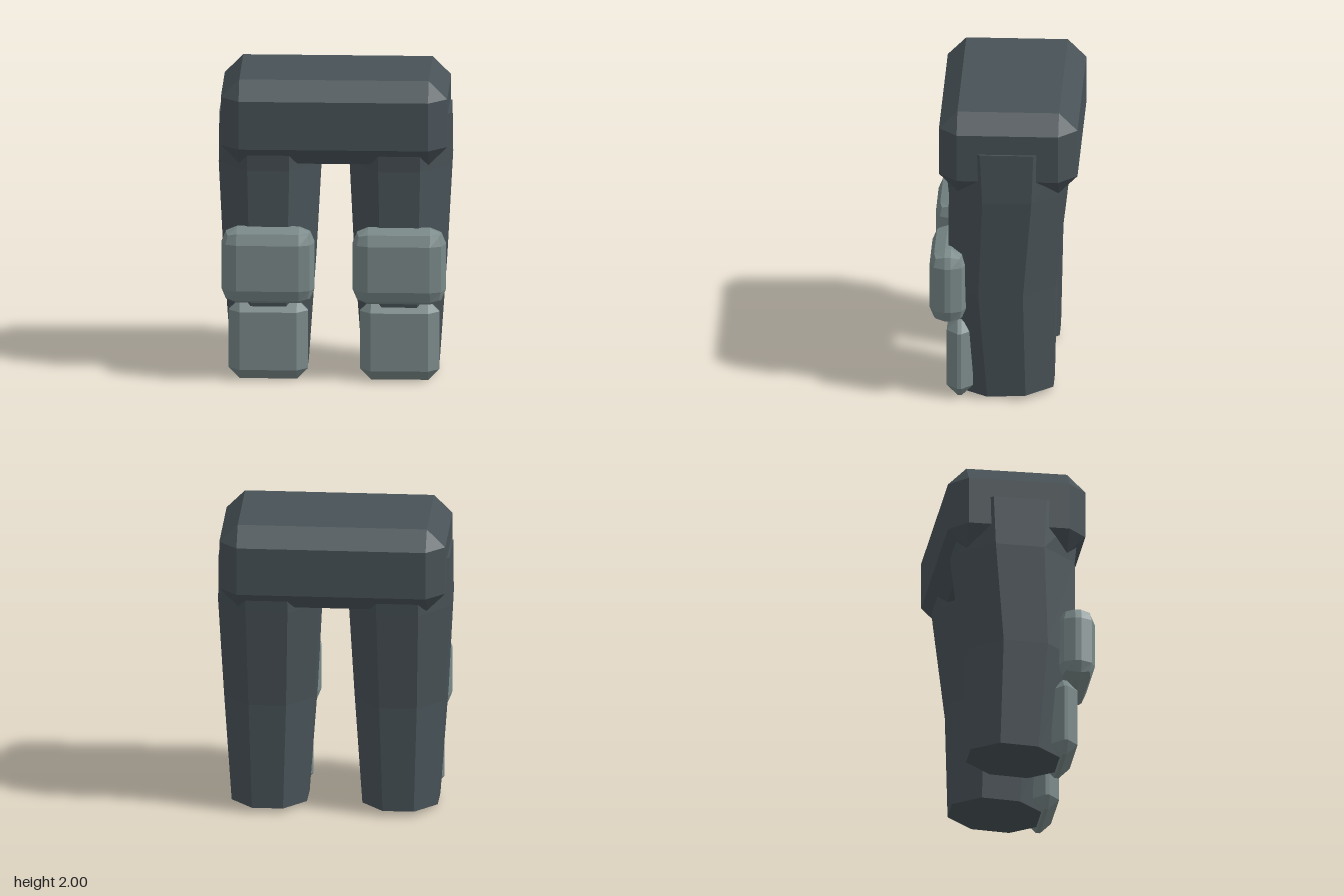
import * as THREE from 'three';
import { ConvexGeometry } from 'three/addons/geometries/ConvexGeometry.js';
import { RoundedBoxGeometry } from 'three/addons/geometries/RoundedBoxGeometry.js';

// Faceted normals
function faceted(geometry) {
  const g = geometry.index ? geometry.toNonIndexed() : geometry;
  g.computeVertexNormals();
  return g;
}

// Box with every edge cut at 45 degrees
function chamferBox(w, h, d, c) {
  const points = [];
  for (const sx of [-1, 1]) for (const sy of [-1, 1]) for (const sz of [-1, 1]) {
    const x = w / 2, y = h / 2, z = d / 2;
    points.push(
      new THREE.Vector3(sx * x, sy * (y - c), sz * (z - c)),
      new THREE.Vector3(sx * (x - c), sy * y, sz * (z - c)),
      new THREE.Vector3(sx * (x - c), sy * (y - c), sz * z));
  }
  return new ConvexGeometry(points);
}

// Octagonal leg; each ring from top down: y, half width, half depth, centre z, tilt
const rings = [
  [1.75, 0.325, 0.42, -0.025, 0],
  [1.41, 0.33, 0.385, -0.027, -0.02],
  [0.74, 0.295, 0.35, 0.015, -0.03],
  [0.022, 0.245, 0.30, -0.02, -0.045],
];
function legGeometry() {
  const r = 1 / Math.cos(Math.PI / 8);
  const g = new THREE.CylinderGeometry(r, r, 1, 8, 3, false, Math.PI / 8);
  const p = g.attributes.position;
  for (let i = 0; i < p.count; i++) {
    const [y, hw, hd, cz, tilt] = rings[Math.round((0.5 - p.getY(i)) * 3)];
    const dz = p.getZ(i) * hd;
    p.setXYZ(i, p.getX(i) * hw, y + tilt * dz, cz + dz);
  }
  return faceted(g);
}

export function createModel() {
  const model = new THREE.Group();
  model.name = 'armouredLegs';
  const cloth = new THREE.MeshStandardMaterial({ color: 0x485257 });
  cloth.name = 'dark slate';
  const armour = new THREE.MeshStandardMaterial({ color: 0x7a8989 });
  armour.name = 'grey armour';

  function add(name, geometry, material, x, y, z) {
    const mesh = new THREE.Mesh(geometry, material);
    mesh.name = name;
    mesh.position.set(x, y, z);
    model.add(mesh);
  }

  // Hips
  add('hips', chamferBox(1.47, 0.56, 0.90, 0.12), cloth, 0, 1.72, -0.03);

  // Legs with knee and shin plates
  const leg = legGeometry();
  const knee = faceted(new RoundedBoxGeometry(0.605, 0.505, 0.24, 1, 0.1));
  const shin = chamferBox(0.515, 0.53, 0.17, 0.072);
  for (const [side, s] of [['left', 1], ['right', -1]]) {
    add(side + 'Leg', leg, cloth, s * 0.425, 0, 0);
    add(side + 'KneePad', knee, armour, s * 0.426, 0.778, 0.36);
    add(side + 'ShinPad', shin, armour, s * 0.426, 0.265, 0.285);
  }
  return model;
}
